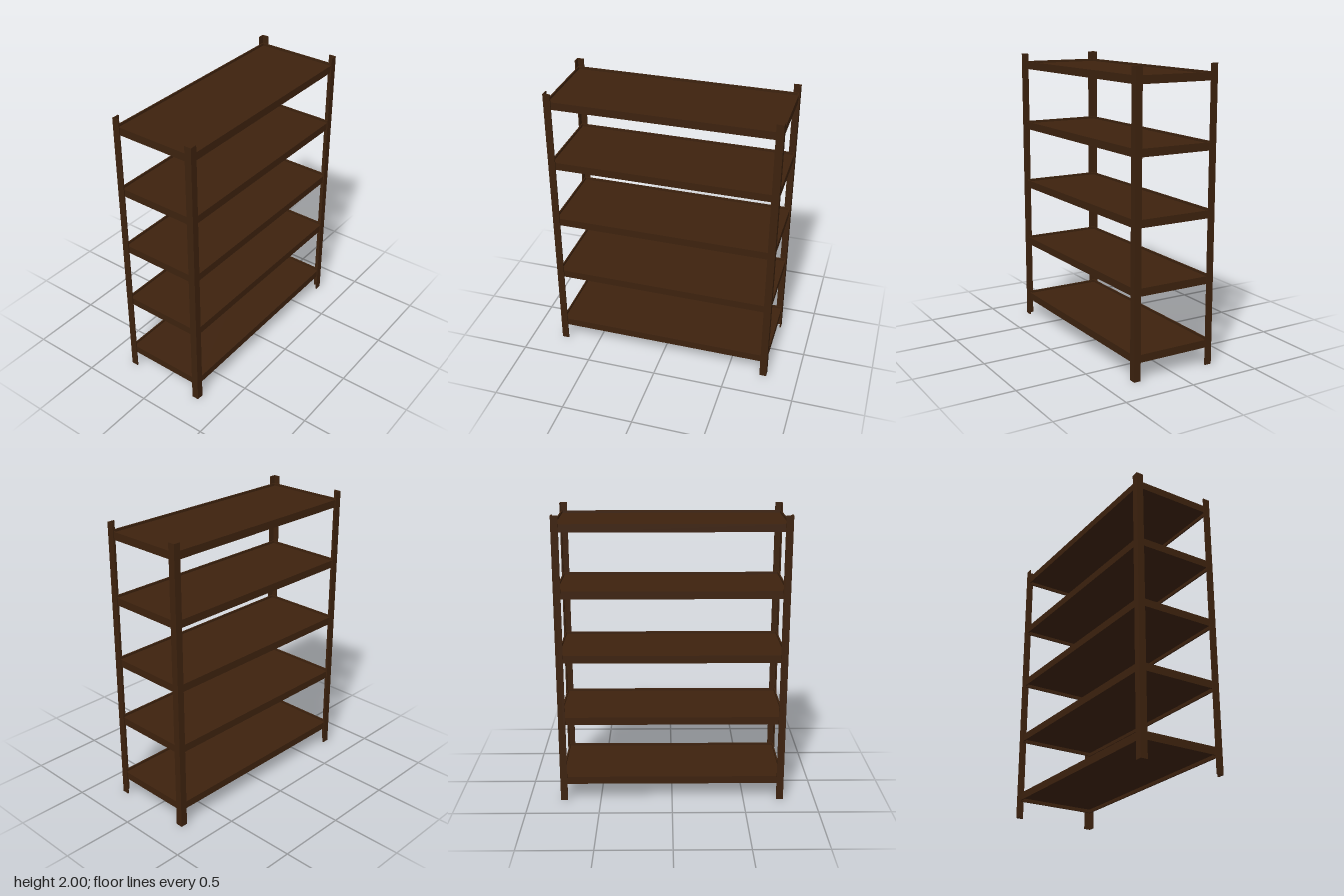
import * as THREE from 'three';

const POST_X = 0.78, POST_Z = 0.304, POST_H = 2;
const FLANGE = 0.049, GAUGE = 0.008;
const RIM_H = 0.053, RIM_T = 0.009;

export function createModel() {
  const group = new THREE.Group();
  const brown = new THREE.MeshStandardMaterial({ color: 0x3d220e });
  brown.name = 'darkBrown';

  // Angle-iron post: equal-legged L section with its corner at the origin
  const section = new THREE.Shape([
    [0, 0], [FLANGE, 0], [FLANGE, GAUGE], [GAUGE, GAUGE], [GAUGE, FLANGE], [0, FLANGE],
  ].map(([x, y]) => new THREE.Vector2(x, y)));
  const postGeo = new THREE.ExtrudeGeometry(section, { depth: POST_H, bevelEnabled: false });
  postGeo.rotateX(-Math.PI / 2); // flanges now point to +x and -z

  // Each corner turns the section so both flanges point inward
  const corners = [
    ['frontRightPost', -1, 1, 0],
    ['frontLeftPost', 1, 1, Math.PI / 2],
    ['backLeftPost', 1, -1, Math.PI],
    ['backRightPost', -1, -1, -Math.PI / 2],
  ];
  for (const [name, sx, sz, turn] of corners) {
    const post = new THREE.Mesh(postGeo, brown);
    post.name = name;
    post.position.set(sx * POST_X, 0, sz * POST_Z);
    post.rotation.y = turn;
    group.add(post);
  }

  // Shelf trays fit inside the post flanges
  const halfX = POST_X - GAUGE, halfZ = POST_Z - GAUGE;
  const panelGeo = new THREE.BoxGeometry(2 * (halfX - RIM_T), 0.012, 2 * (halfZ - RIM_T));
  const longRimGeo = new THREE.BoxGeometry(2 * halfX, RIM_H, RIM_T);
  const shortRimGeo = new THREE.BoxGeometry(RIM_T, RIM_H, 2 * (halfZ - RIM_T));

  for (let i = 0; i < 5; i++) {
    const shelf = new THREE.Group();
    shelf.name = `shelf${i + 1}`;
    shelf.position.y = 0.148 + i * 0.4425;

    const add = (name, geo, x, y, z) => {
      const mesh = new THREE.Mesh(geo, brown);
      mesh.name = name;
      mesh.position.set(x, y, z);
      shelf.add(mesh);
    };

    // Recessed panel with a raised rim on all four sides
    add('shelfPanel', panelGeo, 0, 0.004, 0);
    for (const s of [-1, 1]) {
      add(s > 0 ? 'frontRim' : 'backRim', longRimGeo, 0, 0, s * (halfZ - RIM_T / 2));
      add(s > 0 ? 'leftRim' : 'rightRim', shortRimGeo, s * (halfX - RIM_T / 2), 0, 0);
    }
    group.add(shelf);
  }
  return group;
}
